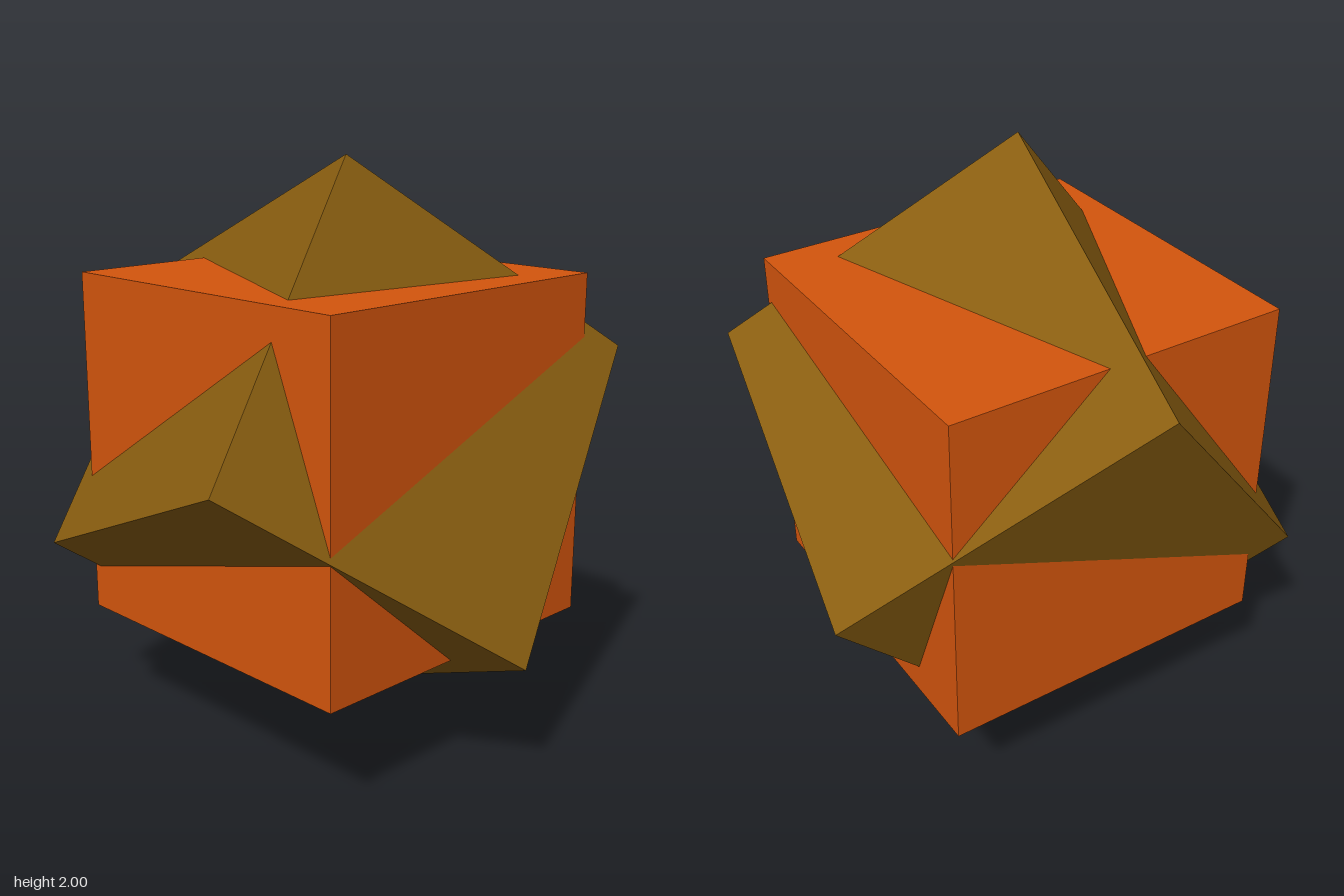
import * as THREE from 'three';

// Two equal cubes sharing one centre; one is turned 45 degrees about a slanted axis.
const SIZE = 1.195;

function makeCube(name, colorName, color) {
  const material = new THREE.MeshStandardMaterial({ color });
  material.name = colorName;
  const cube = new THREE.Mesh(new THREE.BoxGeometry(SIZE, SIZE, SIZE), material);
  cube.name = name;
  cube.position.y = 1;
  return cube;
}

export function createModel() {
  const model = new THREE.Group();
  model.name = 'interlockedCubes';

  // Upright cube
  const uprightCube = makeCube('uprightCube', 'orange', 0xd4550d);

  // Tilted cube, its corners piercing the upright one
  const tiltedCube = makeCube('tiltedCube', 'ochreBrown', 0x8a5e10);
  const axis = new THREE.Vector3(-0.84, -0.356, 0.403).normalize();
  tiltedCube.quaternion.setFromAxisAngle(axis, Math.PI / 4);

  model.add(uprightCube, tiltedCube);
  return model;
}
